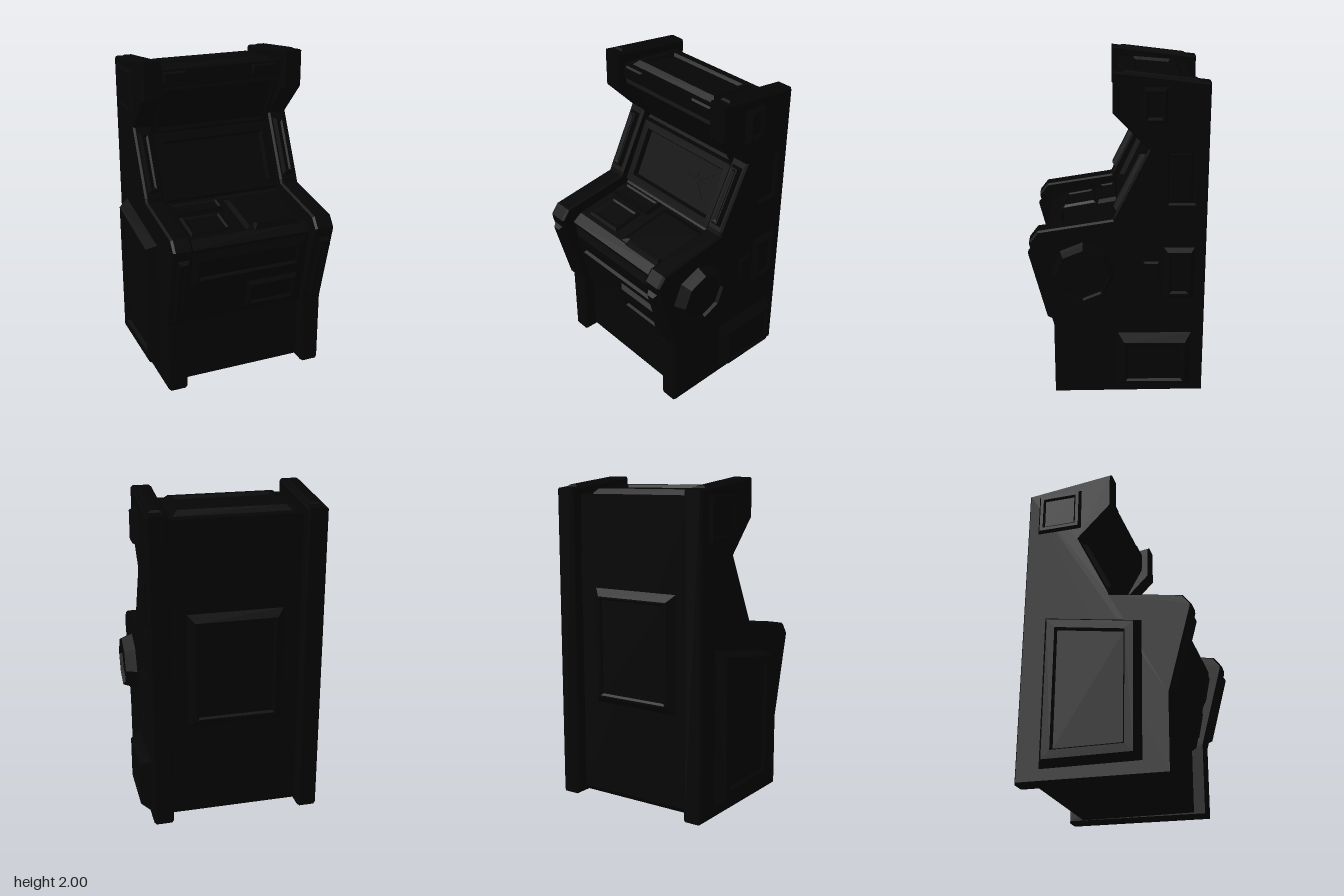
import * as THREE from 'three';

const black = new THREE.MeshStandardMaterial({ color: 0x050505 });
black.name = 'near black';

// Convex counter-clockwise outline moved inwards by d
function inset(pts, d) {
  const n = pts.length;
  const line = (i) => {
    const [ax, ay] = pts[i % n], [bx, by] = pts[(i + 1) % n];
    const l = Math.hypot(bx - ax, by - ay), dx = (bx - ax) / l, dy = (by - ay) / l;
    return { x: ax - dy * d, y: ay + dx * d, dx, dy };
  };
  return pts.map((_, i) => {
    const a = line(i + n - 1), b = line(i);
    const t = ((b.x - a.x) * b.dy - (b.y - a.y) * b.dx) / (a.dx * b.dy - a.dy * b.dx);
    return [a.x + a.dx * t, a.y + a.dy * t];
  });
}

// Bevelled panel: steps are [inset, height] rings, the last ring is capped
function panel(parent, name, pts, steps, origin, u, v) {
  const rings = steps.map(([d, h]) => inset(pts, d).map(([x, y]) => [x, y, h]));
  const pos = [], n = pts.length;
  for (let r = 0; r < rings.length - 1; r++) {
    for (let i = 0; i < n; i++) {
      const j = (i + 1) % n, a = rings[r], b = rings[r + 1];
      pos.push(...a[i], ...a[j], ...b[j], ...a[i], ...b[j], ...b[i]);
    }
  }
  const cap = rings[rings.length - 1];
  for (let i = 1; i < n - 1; i++) pos.push(...cap[0], ...cap[i], ...cap[i + 1]);
  const geo = new THREE.BufferGeometry();
  geo.setAttribute('position', new THREE.Float32BufferAttribute(pos, 3));
  const U = new THREE.Vector3(...u).normalize(), V = new THREE.Vector3(...v).normalize();
  const m = new THREE.Matrix4().makeBasis(U, V, new THREE.Vector3().crossVectors(U, V));
  geo.applyMatrix4(m.setPosition(...origin));
  geo.computeVertexNormals();
  const mesh = new THREE.Mesh(geo, black);
  mesh.name = name;
  parent.add(mesh);
}

const rect = (x0, x1, y0, y1) => [[x0, y0], [x1, y0], [x1, y1], [x0, y1]];
const frame = (h, bevel, rim, sink) =>
  [[0, 0], [bevel, h], [bevel + rim, h], [bevel + rim + 0.012, h - sink]];
const plate = (h, bevel) => [[0, 0], [bevel, h]];

// Profile of [z, y] points extruded along x, with optional holes
function slab(parent, name, profile, x0, x1, bevel, holes = []) {
  const toPoints = (pts) => pts.map((p) => new THREE.Vector2(...p));
  const shape = new THREE.Shape(toPoints(profile));
  for (const hole of holes) shape.holes.push(new THREE.Path(toPoints(hole)));
  const depth = x1 - x0 - 2 * bevel;
  const geo = new THREE.ExtrudeGeometry(shape, {
    depth, bevelEnabled: bevel > 0, bevelThickness: bevel, bevelSize: bevel * 0.7,
    bevelOffset: -bevel * 0.7, bevelSegments: 1,
  });
  geo.translate(0, 0, -depth / 2).rotateY(-Math.PI / 2).translate((x0 + x1) / 2, 0, 0);
  const mesh = new THREE.Mesh(geo, black);
  mesh.name = name;
  parent.add(mesh);
}

export function createModel() {
  const g = new THREE.Group();
  g.name = 'arcadeCabinet';

  // Panel on the sloping face from a to b ([z, y]), t0..t1 measured along it
  const onSlope = (name, a, b, x0, x1, t0, t1, steps) => {
    const l = Math.hypot(b[0] - a[0], b[1] - a[1]);
    panel(g, name, rect(x0, x1, t0 * l, t1 * l), steps,
      [0, a[1], a[0]], [1, 0, 0], [0, b[1] - a[1], b[0] - a[0]]);
  };

  // Body between the side walls
  const frontLow = [0.33, 0.44], frontHigh = [0.43, 0.955], deckFront = [0.37, 1.0], deckBack = [-0.02, 1.07];
  const screenLow = [-0.03, 1.08], screenHigh = [-0.22, 1.49], hoodLow = [-0.025, 1.84];
  const roofFront = [-0.025, 1.93], roofBack = [-0.45, 1.895];
  slab(g, 'body', [[-0.45, 0.05], [-0.43, 0.02], [0.3, 0.02], [0.3, 0.42], frontLow, frontHigh, deckFront,
    deckBack, screenLow, screenHigh, hoodLow, roofFront, roofBack], -0.41, 0.405, 0);

  // Side walls with raised edge strips; the left one has a sunken vent
  const kneeLow = [0.38, 0.46], kneeHigh = [0.515, 0.98], cheekLow = [0.015, 1.16], cheekHigh = [-0.18, 1.555];
  const crownFront = [0.025, 2.0], crownBack = [-0.525, 1.935];
  const wall = [[-0.525, 0.01], [0.38, 0], kneeLow, kneeHigh, [0.515, 1.0], [0.465, 1.065], [0.025, 1.135],
    cheekLow, cheekHigh, [0.025, 1.765], crownFront, crownBack];
  const vent = rect(-0.447, -0.303, 1.235, 1.53);
  for (const [side, x0, x1, holes] of [['left', 0.393, 0.516, [vent]], ['right', -0.526, -0.403, []]]) {
    slab(g, side + 'Wall', wall, x0, x1, 0.014, holes);
    const a = x0 + 0.024, b = x1 - 0.024;
    onSlope(side + 'KneeStrip', kneeLow, kneeHigh, a, b, 0.07, 0.92, frame(0.027, 0.014, 0.008, 0.008));
    onSlope(side + 'CheekStrip', cheekLow, cheekHigh, a, b, 0.06, 0.92, frame(0.026, 0.014, 0.008, 0.008));
    onSlope(side + 'CrownStrip', crownFront, crownBack, a, b, 0.1, 0.88, plate(0.01, 0.014));
  }

  // Front: grille and coin door
  onSlope('frontGrille', frontLow, frontHigh, -0.385, 0.38, 0.5, 0.96, frame(0.028, 0.045, 0.01, 0.018));
  onSlope('coinDoor', frontLow, frontHigh, 0, 0.345, 0.06, 0.43, frame(0.025, 0.02, 0.01, 0.015));

  // Control deck
  onSlope('buttonPlate', deckFront, deckBack, -0.385, -0.04, 0.65, 0.98, frame(0.025, 0.012, 0.01, 0.008));
  onSlope('stickPlate', deckFront, deckBack, -0.35, -0.08, 0.08, 0.61, frame(0.015, 0.012, 0.01, 0.008));
  onSlope('rightPlate', deckFront, deckBack, 0.0, 0.385, 0.02, 0.95, plate(0.01, 0.03));
  onSlope('handRest', deckFront, deckBack, 0.05, 0.36, -0.02, 0.14, plate(0.03, 0.02));

  // Screen with bezel and a broken corner
  onSlope('screen', screenLow, screenHigh, -0.4, 0.395, 0.02, 0.99, frame(0.035, 0.012, 0.045, 0.03));
  for (const [angle, len] of [[0.6, 0.17], [0.1, 0.09], [1.6, 0.06], [2.9, 0.08], [5.5, 0.15]]) {
    const c = Math.cos(angle), s = Math.sin(angle), w = 0.007;
    panel(g, 'screenCrack', [[s * w, -c * w], [c * len, s * len], [-s * w, c * w]], [[0, 0], [0.001, 0.003]],
      [0.15, 1.3, -0.127], [1, 0, 0], [0, 0.41, -0.19]);
  }

  // Hood underside, front lamps and roof panel
  onSlope('hoodPanel', screenHigh, hoodLow, -0.395, 0.39, 0.03, 0.97, frame(0.018, 0.015, 0.012, 0.018));
  for (const [x0, x1] of [[-0.38, -0.23], [0.2, 0.36]]) {
    onSlope('hoodLamp', hoodLow, roofFront, x0, x1, 0.2, 0.9, plate(0.012, 0.01));
  }
  onSlope('roofPanel', roofFront, roofBack, -0.355, 0.345, 0.07, 0.88, frame(0.03, 0.03, 0.024, 0.018));

  // Back service panel
  panel(g, 'backPanel', rect(-0.285, 0.3, 0.62, 1.335), frame(0.04, 0.045, 0.01, 0.012),
    [0, 0, -0.45], [-1, 0, 0], [0, 1, 0]);

  // Left (+x) wall details: u runs towards the back
  const onLeft = (name, z0, z1, y0, y1, steps, x = 0.515) =>
    panel(g, name, rect(-z0, -z1, y0, y1), steps, [x, 0, 0], [0, 0, -1], [0, 1, 0]);
  onLeft('upperVent', -0.142, -0.285, 1.71, 1.915, frame(0.04, 0.018, 0.008, 0.02));
  onLeft('middleVentFloor', -0.29, -0.445, 1.22, 1.545, plate(0.005, 0.025), 0.49);
  onLeft('sideVent', -0.275, -0.46, 0.64, 0.965, frame(0.032, 0.025, 0.012, 0.02));
  onLeft('sideSwitch', -0.155, -0.25, 0.73, 0.875, plate(0.015, 0.01));
  onLeft('sideDoor', -0.005, -0.45, 0.06, 0.41, frame(0.065, 0.04, 0.01, 0.012));
  const octagon = Array.from({ length: 8 }, (_, i) =>
    [-0.2 + 0.192 * Math.cos(i * Math.PI / 4), 0.808 + 0.192 * Math.sin(i * Math.PI / 4)]);
  panel(g, 'sideSpeaker', octagon, [[0, 0], [0.012, 0.03], [0.027, 0.07], [0.036, 0.07], [0.044, 0.05]],
    [0.515, 0, 0], [0, 0, -1], [0, 1, 0]);

  // Right (-x) wall details: u runs towards the front
  const onRight = (name, pts, steps) =>
    panel(g, name, pts, steps, [-0.525, 0, 0], [0, 0, 1], [0, 1, 0]);
  onRight('largeSidePanel', [[-0.38, 0.085], [0.22, 0.085], [0.22, 0.93], [-0.38, 1.025]],
    frame(0.064, 0.035, 0.05, 0.02));
  onRight('upperSidePanel', rect(-0.455, -0.17, 1.63, 1.91), frame(0.02, 0.015, 0.02, 0.012));

  return g;
}
